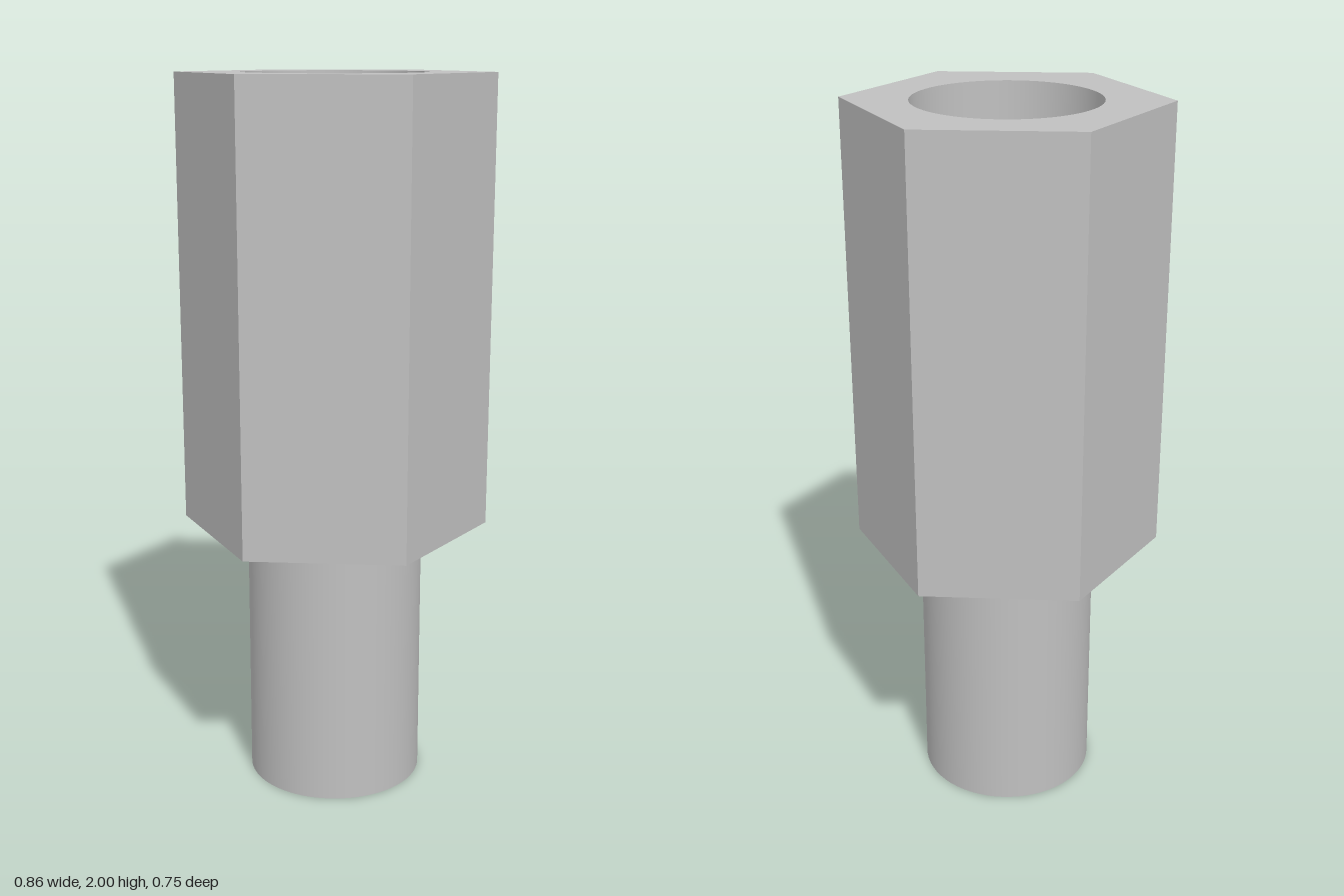
import * as THREE from 'three';

const HEX_R = 0.431, BORE_R = 0.25, STUD_R = 0.248;
const TOP = 2, SHOULDER = 0.755, BORE_FLOOR = 1.25, SEGMENTS = 64;

export function createModel() {
  const group = new THREE.Group();
  const metal = new THREE.MeshStandardMaterial({ color: 0xc0c0c0 });
  metal.name = 'grey metal';

  const add = (name, geometry, y = 0) => {
    const mesh = new THREE.Mesh(geometry, metal);
    mesh.name = name;
    mesh.position.y = y;
    group.add(mesh);
  };

  // Hexagon with its points on the x axis, optionally pierced by a round hole
  const hexFace = (holeRadius) => {
    const corners = Array.from({ length: 6 }, (_, i) =>
      new THREE.Vector2(Math.cos(i * Math.PI / 3) * HEX_R, Math.sin(i * Math.PI / 3) * HEX_R));
    const shape = new THREE.Shape(corners);
    shape.holes.push(new THREE.Path().absarc(0, 0, holeRadius, 0, Math.PI * 2, true));
    return new THREE.ShapeGeometry(shape, SEGMENTS / 2);
  };

  // Surface of revolution through two points, with its own crisp edges
  const revolve = (r1, y1, r2, y2) => new THREE.LatheGeometry(
    [new THREE.Vector2(r1, y1), new THREE.Vector2(r2, y2)], SEGMENTS);

  // Hexagonal body: six flat sides, top rim and underside
  const height = TOP - SHOULDER;
  const sides = new THREE.CylinderGeometry(HEX_R, HEX_R, height, 6, 1, true)
    .rotateY(Math.PI / 2).toNonIndexed();
  sides.computeVertexNormals();
  add('hexBodySides', sides, SHOULDER + height / 2);
  add('hexBodyTop', hexFace(BORE_R).rotateX(-Math.PI / 2), TOP);
  add('hexBodyUnderside', hexFace(STUD_R).rotateX(Math.PI / 2), SHOULDER);

  // Blind bore, facing inward
  add('boreWall', revolve(BORE_R, TOP, BORE_R, BORE_FLOOR));
  add('boreFloor', revolve(BORE_R, BORE_FLOOR, 0, BORE_FLOOR));

  // Round stud below the body
  add('studWall', revolve(STUD_R, 0, STUD_R, SHOULDER));
  add('studEnd', revolve(0, 0, STUD_R, 0));

  return group;
}
